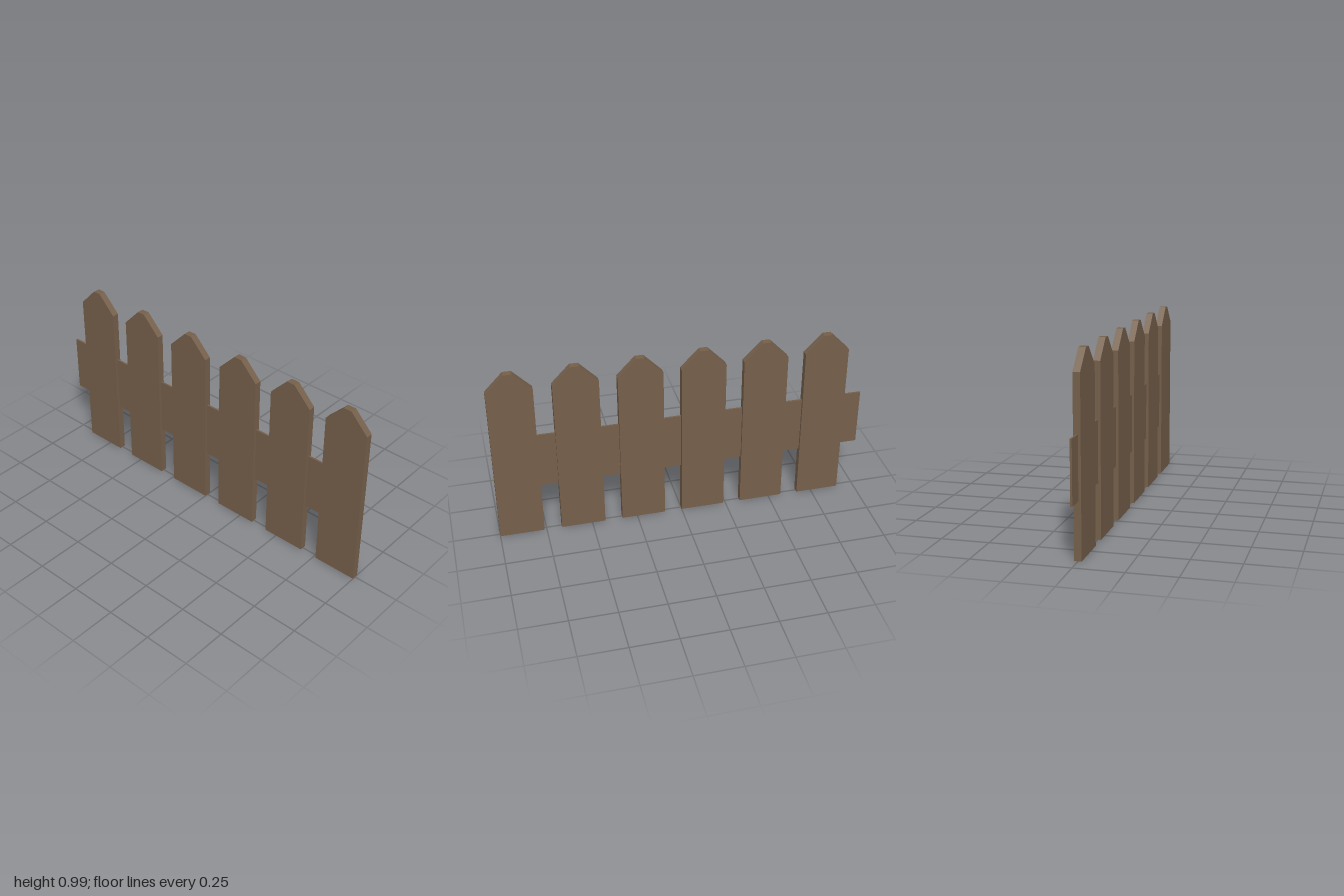
import * as THREE from 'three';

export function createModel() {
  const fence = new THREE.Group();
  fence.name = 'picketFence';
  const wood = new THREE.MeshStandardMaterial({ color: 0x755f4a });
  wood.name = 'brownWood';

  // Picket outline: straight board with a clipped point
  const half = 0.119, flat = 0.022, shoulder = 0.89, top = 0.99, thick = 0.036;
  const outline = new THREE.Shape([
    [-half, 0], [half, 0], [half, shoulder],
    [flat, top], [-flat, top], [-half, shoulder],
  ].map(([x, y]) => new THREE.Vector2(x, y)));
  const picketGeometry = new THREE.ExtrudeGeometry(outline, { depth: thick, bevelEnabled: false });
  picketGeometry.translate(0, 0, -thick / 2);
  picketGeometry.rotateY(Math.PI / 2);

  // Six evenly spaced pickets along z
  for (let i = 0; i < 6; i++) {
    const picket = new THREE.Mesh(picketGeometry, wood);
    picket.name = `picket${i + 1}`;
    picket.position.z = 1 - half - i * 0.3335;
    fence.add(picket);
  }

  // Thin wide rail through the pickets, projecting at the back end
  const front = 0.9, back = -1;
  const rail = new THREE.Mesh(new THREE.BoxGeometry(0.01, 0.315, front - back), wood);
  rail.name = 'rail';
  rail.position.set(0, 0.447, (front + back) / 2);
  fence.add(rail);

  return fence;
}
